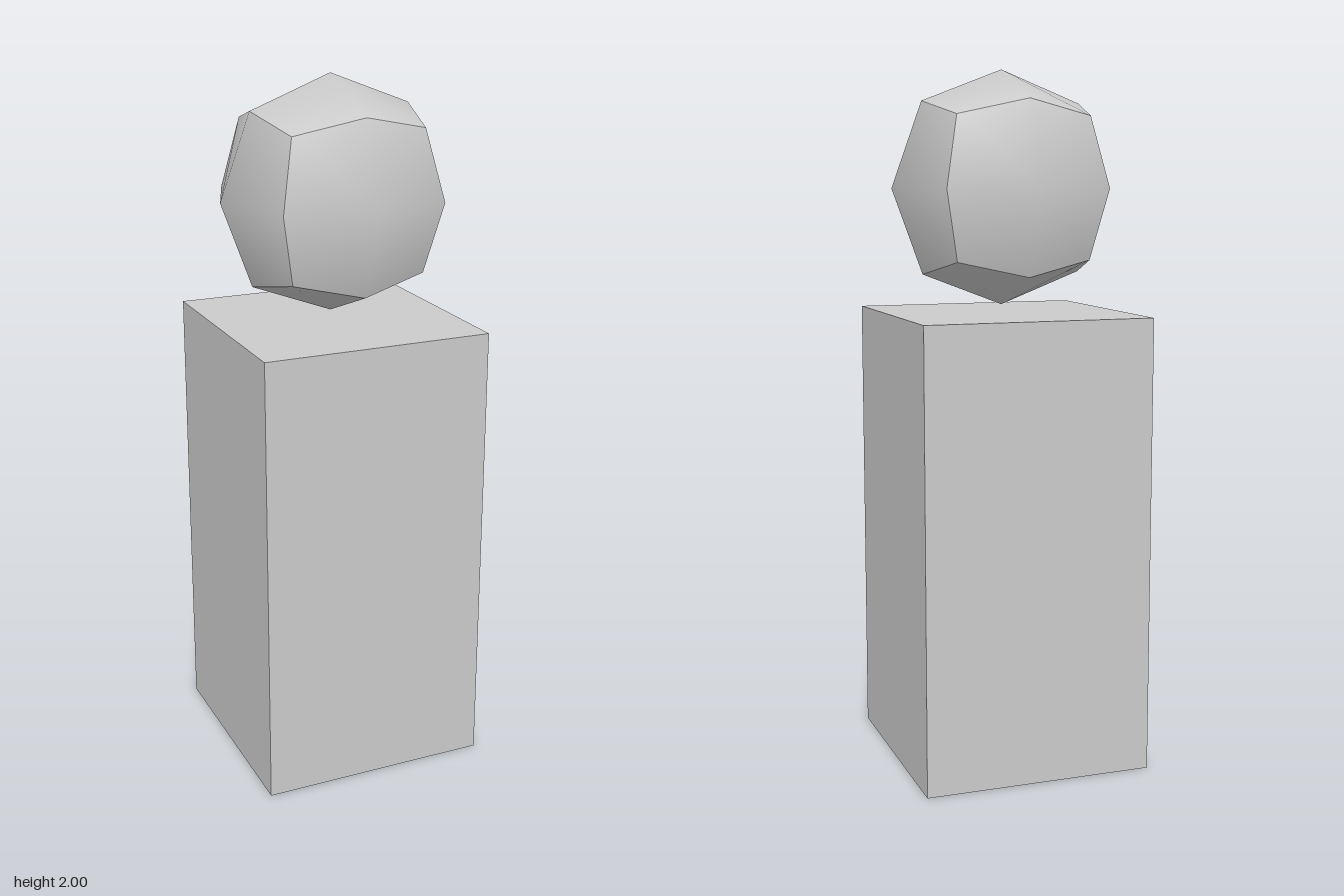
import * as THREE from 'three';

const material = new THREE.MeshStandardMaterial({ color: 0xcccccc });

// Cube of 2 x 2 patches per side, inflated to a coarse ball; sides stay separate so cube edges are sharp
function ballGeometry() {
  const geo = new THREE.BoxGeometry(2, 2, 2, 2, 2, 2);
  const reach = [0, 0.326, 0.237, 0.195]; // face centre, edge middle, corner
  const pos = geo.attributes.position;
  const p = new THREE.Vector3();
  for (let i = 0; i < pos.count; i++) {
    p.fromBufferAttribute(pos, i).round();
    p.multiplyScalar(reach[Math.abs(p.x) + Math.abs(p.y) + Math.abs(p.z)]);
    pos.setXYZ(i, p.x, p.y * 1.022, p.z);
  }
  // Split every patch from face centre to corner
  const index = geo.index;
  for (let q = 0; q < index.count / 6; q++) {
    if (q % 4 === 1 || q % 4 === 2) continue;
    const o = q * 6;
    const [a, b, d, c] = [0, 1, 2, 4].map((k) => index.getX(o + k));
    [a, b, c, a, c, d].forEach((v, k) => index.setX(o + k, v));
  }
  geo.clearGroups();
  geo.computeVertexNormals();
  return geo;
}

export function createModel() {
  const group = new THREE.Group();

  // Square column standing on the ground
  const body = new THREE.Mesh(new THREE.BoxGeometry(0.666, 1.312, 0.666), material);
  body.name = 'body';
  body.position.y = 0.656;

  // Ball floating just above the column
  const head = new THREE.Mesh(ballGeometry(), material);
  head.name = 'head';
  head.position.y = 1.667;

  group.add(body, head);
  return group;
}
